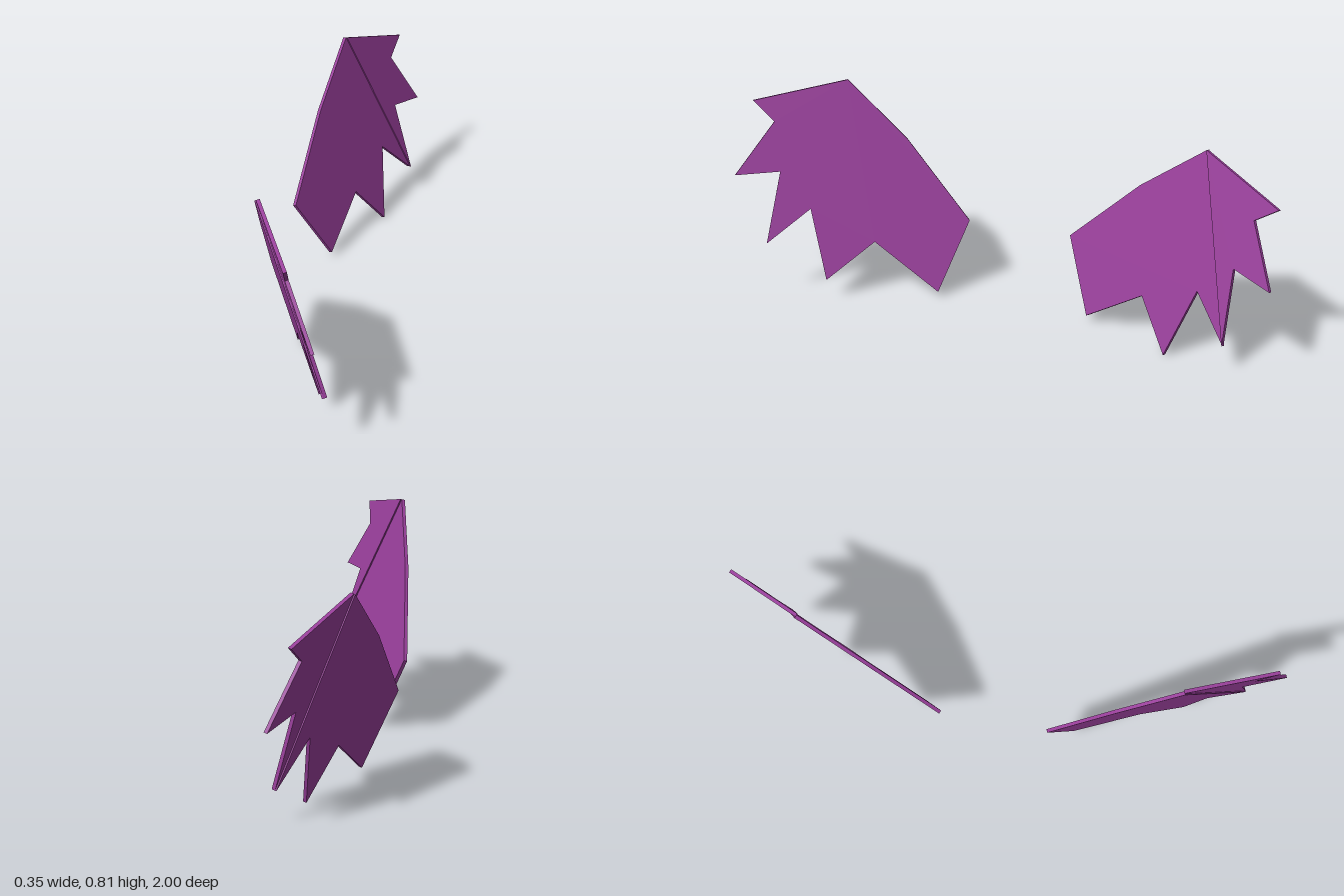
import * as THREE from 'three';

const purple = new THREE.MeshStandardMaterial({ color: 0x993f9b });
purple.name = 'purple membrane';

const THICK = 0.013;
const STEP = 0.005; // the large panel sits slightly outside the others

// Outline points are [z, y]; the wing's plane is x = x0 + a * dy + b * dz from the apex.
function makeWing(name, x0, a, b, pts) {
  const wing = new THREE.Group();
  wing.name = name;
  const [z0, y0] = pts[0];
  const normal = new THREE.Vector3(1, -a, -b).normalize();
  const toPlane = new THREE.Matrix4().makeBasis(
    new THREE.Vector3(-b, 0, -1), new THREE.Vector3(a, 1, 0), normal
  ).setPosition(x0, y0, z0);

  const addPanel = (panelName, ids, offset) => {
    const shape = new THREE.Shape(
      ids.map(i => new THREE.Vector2(z0 - pts[i][0], pts[i][1] - y0))
    );
    const geo = new THREE.ExtrudeGeometry(shape, { depth: THICK, bevelEnabled: false });
    geo.translate(0, 0, offset - THICK / 2);
    geo.applyMatrix4(toPlane);
    geo.computeVertexNormals();
    const mesh = new THREE.Mesh(geo, purple);
    mesh.name = panelName;
    wing.add(mesh);
  };

  // Three panels fan out from the apex
  addPanel('mainPanel', [0, 1, 2, 3, 4, 5, 6, 7], -STEP);
  addPanel('middlePanel', [0, 7, 8, 9], 0);
  addPanel('tipPanel', [0, 9, 10, 11], 0);
  return wing;
}

export function createModel() {
  const model = new THREE.Group();
  model.name = 'wings';
  // Order: apex, leading edge, root, then the jagged trailing edge to the tip
  model.add(makeWing('frontWing', -0.113, -0.279, 0.439, [
    [0.645, 0.81], [0.43, 0.59], [0.197, 0.285], [0.285, 0.025],
    [0.515, 0.22], [0.67, 0.087], [0.74, 0.35], [0.88, 0.23],
    [0.85, 0.49], [1.0, 0.483], [0.88, 0.67], [0.955, 0.748],
  ]));
  model.add(makeWing('backWing', -0.073, -0.288, -0.439, [
    [-0.705, 0.738], [-0.46, 0.545], [-0.192, 0.283], [-0.293, 0.028],
    [-0.512, 0.175], [-0.62, 0.005], [-0.725, 0.265], [-0.843, 0.118],
    [-0.855, 0.385], [-0.995, 0.353], [-0.91, 0.565], [-0.995, 0.625],
  ]));
  return model;
}
